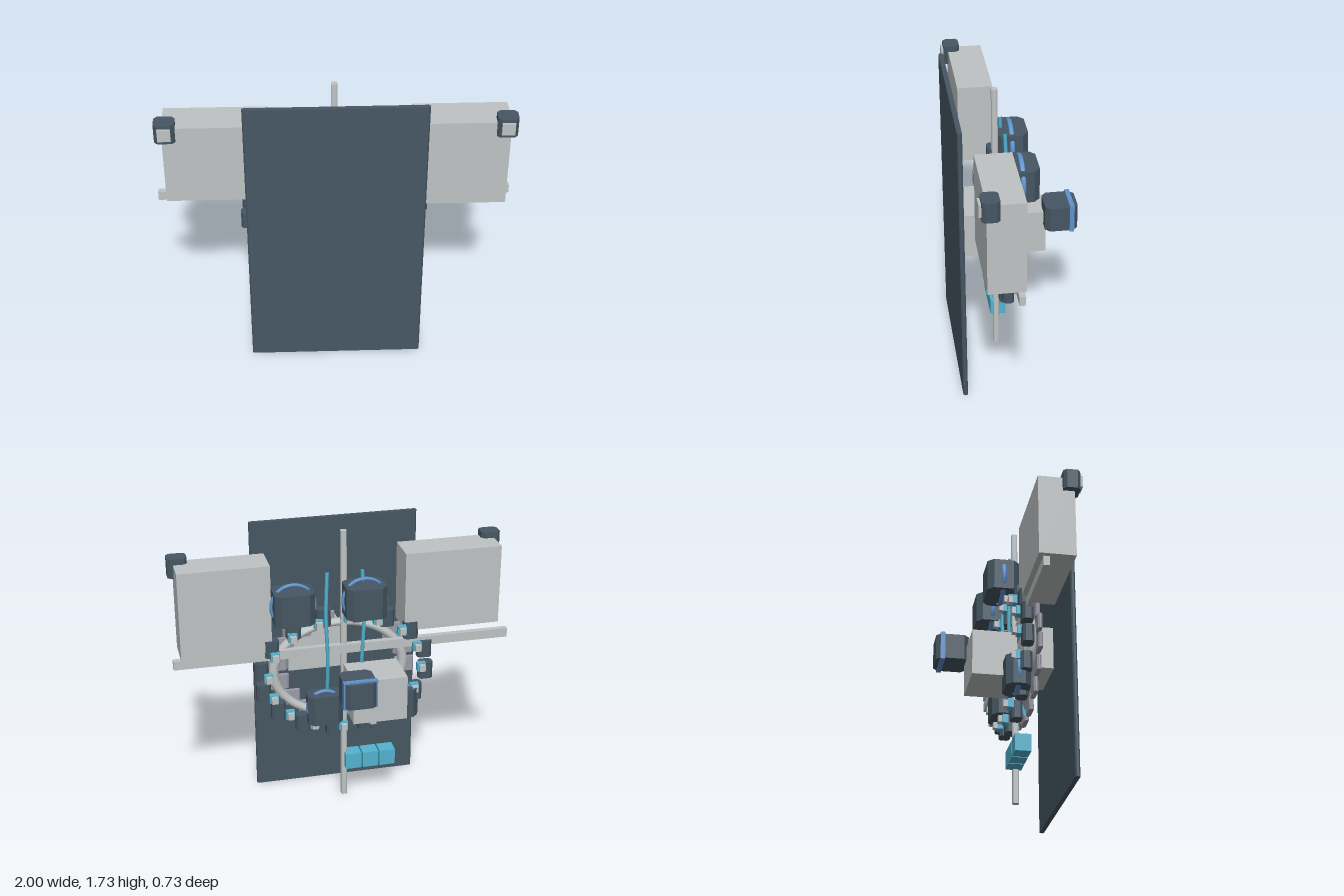
import * as THREE from 'three';

const mat = (name, color) => {
  const m = new THREE.MeshStandardMaterial({ color });
  m.name = name;
  return m;
};

export function createModel() {
  const root = new THREE.Group();
  root.name = 'ringAssembly';
  const slate = mat('slate', 0x465763);
  const grey = mat('lightGrey', 0xbfc3c4);
  const lilac = mat('midGrey', 0x9b9ca8);
  const blue = mat('blue', 0x5f93cc);
  const cyan = mat('cyan', 0x52b4d0);

  const add = (name, geo, material, parent = root) => {
    const m = new THREE.Mesh(geo, material);
    m.name = name;
    parent.add(m);
    return m;
  };

  // Box given by its extents
  const box = (name, material, x0, x1, y0, y1, z0, z1, parent) => {
    const g = new THREE.BoxGeometry(x1 - x0, y1 - y0, z1 - z0);
    g.translate((x0 + x1) / 2, (y0 + y1) / 2, (z0 + z1) / 2);
    return add(name, g, material, parent);
  };

  // Upright prism with its four vertical edges cut off by c
  const prism = (name, material, x0, x1, y0, y1, z0, z1, c, parent) => {
    const s = new THREE.Shape([
      [x0 + c, -z0], [x0, -z0 - c], [x0, -z1 + c], [x0 + c, -z1],
      [x1 - c, -z1], [x1, -z1 + c], [x1, -z0 - c], [x1 - c, -z0],
    ].map(([x, y]) => new THREE.Vector2(x, y)));
    const g = new THREE.ExtrudeGeometry(s, { depth: y1 - y0, bevelEnabled: false });
    g.rotateX(-Math.PI / 2);
    g.translate(0, y0, 0);
    return add(name, g, material, parent);
  };

  // Front panel and crossed frame bars
  prism('frontPanel', slate, -0.495, 0.5, 0, 1.725, 0.34, 0.367, 0.008);
  prism('uprightBar', grey, -0.017, 0.017, 0, 1.725, 0.09, 0.125, 0.006);
  box('crossBar', grey, -1, 1, 0.97, 1.025, 0.08, 0.115);

  // Large side cabinets with corner lamps
  box('leftCabinet', grey, 0.43, 0.955, 1.025, 1.56, 0.07, 0.275);
  box('rightCabinet', grey, -0.935, -0.36, 1.08, 1.56, 0.07, 0.275);
  for (const [side, x] of [['left', 0.932], ['right', -0.917]]) {
    const lamp = new THREE.Group();
    lamp.name = side + 'CornerLamp';
    root.add(lamp);
    prism('lampHousing', slate, x - 0.057, x + 0.057, 1.48, 1.595, 0.207, 0.302, 0.018, lamp);
    box('lampFace', grey, x - 0.036, x + 0.036, 1.503, 1.575, 0.3, 0.316, lamp);
  }

  // Middle boxes, one at the back and one at the front
  box('rearBox', grey, -0.31, 0.01, 0.64, 0.91, -0.19, 0.065);
  box('frontBox', grey, 0, 0.32, 0.85, 1.115, 0.165, 0.34);

  // Oval ring tube
  const oval = new THREE.TorusGeometry(0.39, 0.03, 10, 64);
  oval.scale(1, 0.75, 1);
  oval.translate(0.025, 0.86, 0.135);
  add('ovalRing', oval, grey);

  // Modules spaced around the ring: block, front plate and rear connector
  const onOval = (deg, rx, ry) => {
    const a = THREE.MathUtils.degToRad(deg);
    return [rx * Math.cos(a), 0.86 + ry * Math.sin(a)];
  };
  for (let i = 0; i < 16; i++) {
    const module = new THREE.Group();
    module.name = 'ringModule' + (i + 1);
    root.add(module);
    const [x, y] = onOval(i * 22.5 + 8, 0.5, 0.365);
    prism('moduleBlock', slate, x - 0.042, x + 0.042, y - 0.052, y + 0.052, 0.058, 0.122, 0.015, module);
    const [px, py] = onOval(i * 22.5 + 8, 0.39, 0.31);
    prism('modulePlate', lilac, px - 0.06, px + 0.06, py - 0.045, py + 0.045, 0.162, 0.188, 0.01, module);
    const [cx, cy] = onOval(i * 22.5 + 2, 0.46, 0.35);
    box('connectorBase', cyan, cx - 0.026, cx + 0.026, cy - 0.026, cy + 0.026, 0.034, 0.066, module);
    box('connectorTip', grey, cx - 0.018, cx + 0.018, cy - 0.02, cy + 0.02, 0.01, 0.034, module);
  }

  // Chamfered pods, each with a hoop round its middle
  const pods = [
    ['upperLeftPod', 0.315, 1.335, 0.008, 0.115, 0.094, 0.094, 0.135],
    ['upperRightPod', -0.1, 1.335, 0.008, 0.118, 0.094, 0.094, 0.135],
    ['lowerLeftPod', 0.13, 0.65, 0.045, 0.105, 0.092, 0.062, 0.113],
    ['lowerRightPod', -0.335, 0.635, 0.055, 0.1, 0.09, 0.07, 0.113],
  ];
  for (const [name, x, y, z, w, h, d, r] of pods) {
    const pod = new THREE.Group();
    pod.name = name;
    pod.position.set(x, y, z);
    root.add(pod);
    prism('podBody', slate, -w, w, -h, h, -d, d, 0.035, pod);
    const hoop = new THREE.TorusGeometry(r - 0.008, 0.009, 8, 32);
    hoop.scale(1, 1, 1.6);
    add('podHoop', hoop, blue, pod);
  }

  // Rear pod with a flat band
  prism('rearPod', slate, -0.09, 0.1, 0.828, 0.98, -0.365, -0.175, 0.028);
  box('rearPodBand', blue, -0.094, 0.104, 0.82, 0.99, -0.342, -0.315);

  // Two bowed cables
  for (const x of [0.105, -0.1]) {
    const path = new THREE.CatmullRomCurve3([
      new THREE.Vector3(x, 0.49, 0.145),
      new THREE.Vector3(x, 0.66, 0.1),
      new THREE.Vector3(x, 0.95, 0.06),
      new THREE.Vector3(x * 1.1, 1.22, 0.055),
      new THREE.Vector3(x, 1.5, 0.063),
    ]);
    add('cable', new THREE.TubeGeometry(path, 32, 0.011, 8), cyan);
  }

  // Row of three small blocks low on the upright
  for (let i = 0; i < 3; i++) {
    const x = -0.05 - i * 0.105;
    box('lowBlock' + (i + 1), cyan, x - 0.048, x + 0.048, 0.2, 0.3, 0.05, 0.14);
  }

  return root;
}
